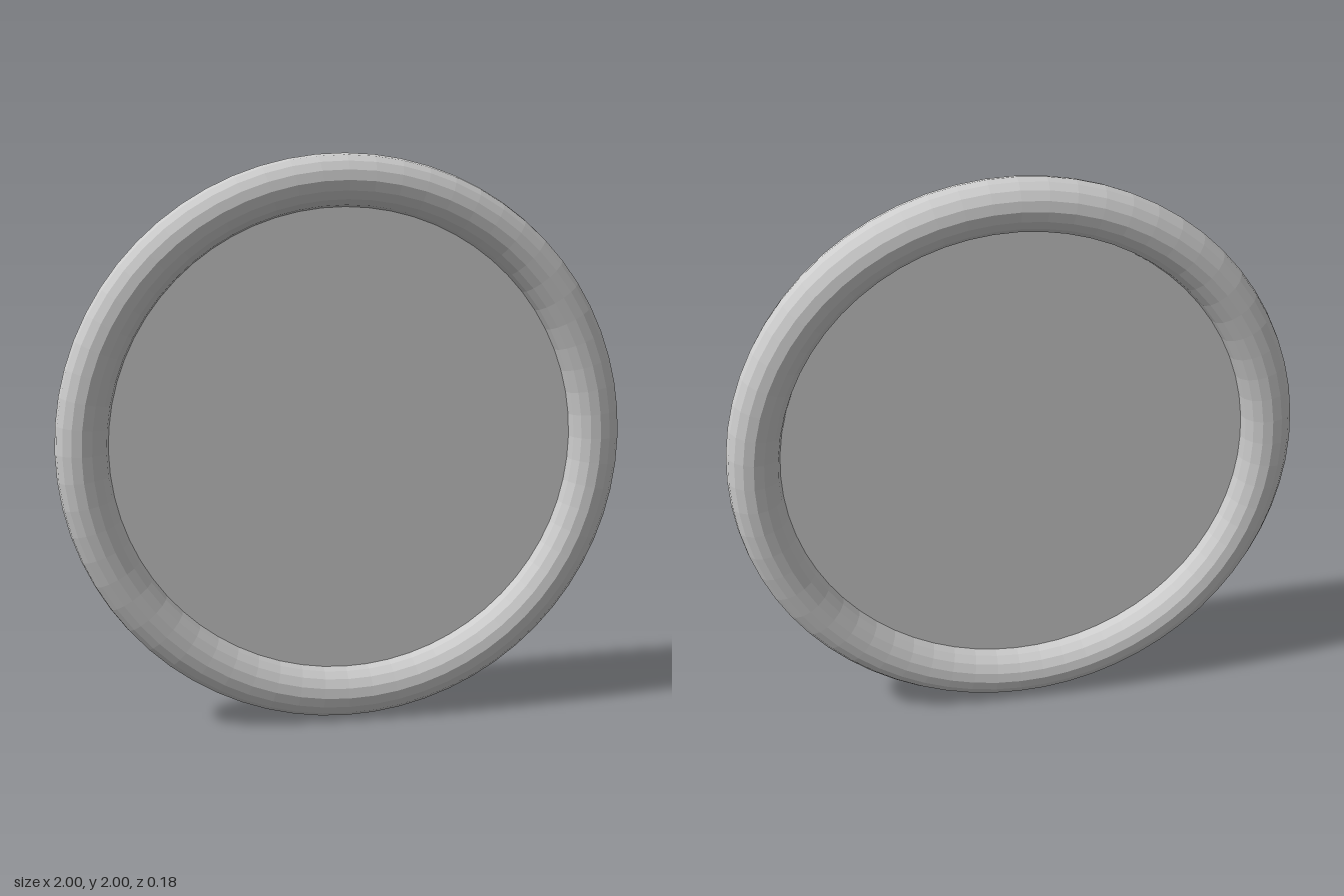
import * as THREE from 'three';

const RADIUS = 0.91; // centre line of the round frame
const TUBE = 0.09;

export function createModel() {
  const model = new THREE.Group();
  model.name = 'roundFramedPane';

  // Faceted round frame
  const frame = new THREE.Mesh(
    new THREE.TorusGeometry(RADIUS, TUBE, 16, 64),
    new THREE.MeshStandardMaterial({ color: 0xcccccc, flatShading: true })
  );
  frame.name = 'frame';

  // Thin flat pane, its rim tucked just inside the frame
  const pane = new THREE.Mesh(
    new THREE.CircleGeometry(RADIUS - TUBE + 0.01, 64),
    new THREE.MeshStandardMaterial({ color: 0xcccccc, side: THREE.DoubleSide })
  );
  pane.name = 'pane';

  for (const part of [frame, pane]) {
    part.position.y = RADIUS + TUBE;
    model.add(part);
  }
  return model;
}
